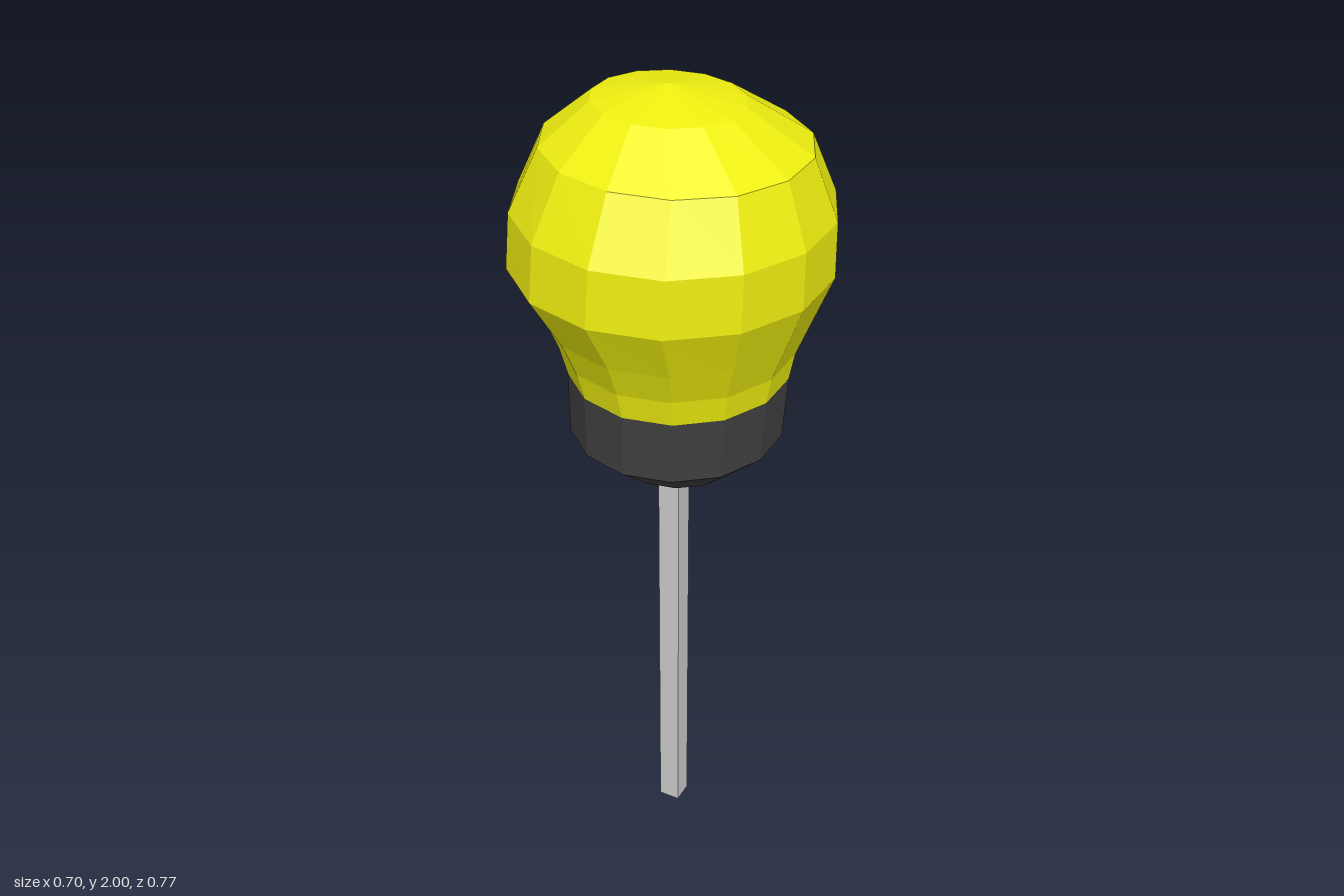
import * as THREE from 'three';

const SIDES = 14;

// Faceted, slightly oval and tilted body from rings of [y, x radius, z radius, x centre], bottom to top
function ringBody(name, color, rings) {
  const geometry = new THREE.LatheGeometry(rings.map(([y, , rz]) => new THREE.Vector2(rz, y)), SIDES);
  const pos = geometry.attributes.position;
  for (let i = 0; i < pos.count; i++) {
    const [y, rx, rz, cx] = rings[i % rings.length];
    const dx = rz > 0 ? pos.getX(i) * rx / rz : 0;
    pos.setX(i, cx + dx);
    pos.setY(i, y - 0.03 * dx);
  }
  geometry.computeVertexNormals();
  const mesh = new THREE.Mesh(geometry, new THREE.MeshStandardMaterial({ color, flatShading: true, side: THREE.DoubleSide }));
  mesh.name = name;
  return mesh;
}

export function createModel() {
  const model = new THREE.Group();
  model.name = 'bulbOnStick';

  // Yellow bulb with a narrow neck
  model.add(ringBody('bulb', 0xeeee10, [
    [1.345, 0.252, 0.273, 0.018],
    [1.41, 0.267, 0.288, 0.015],
    [1.49, 0.298, 0.322, 0.015],
    [1.61, 0.36, 0.384, 0],
    [1.74, 0.354, 0.375, 0.005],
    [1.88, 0.295, 0.3, 0.01],
    [1.968, 0.169, 0.164, -0.01],
    [2, 0, 0, -0.015],
  ]));

  // Dark socket cup
  model.add(ringBody('socket', 0x404040, [
    [1.075, 0, 0, 0.015],
    [1.102, 0.15, 0.155, 0.015],
    [1.19, 0.247, 0.264, 0.012],
    [1.345, 0.252, 0.273, 0.018],
  ]));

  // Square stick
  const stick = new THREE.Mesh(
    new THREE.BoxGeometry(0.054, 1.1, 0.054),
    new THREE.MeshStandardMaterial({ color: 0xcccccc, flatShading: true })
  );
  stick.name = 'stick';
  stick.position.set(0.01, 0.55, 0.015);
  model.add(stick);

  return model;
}
